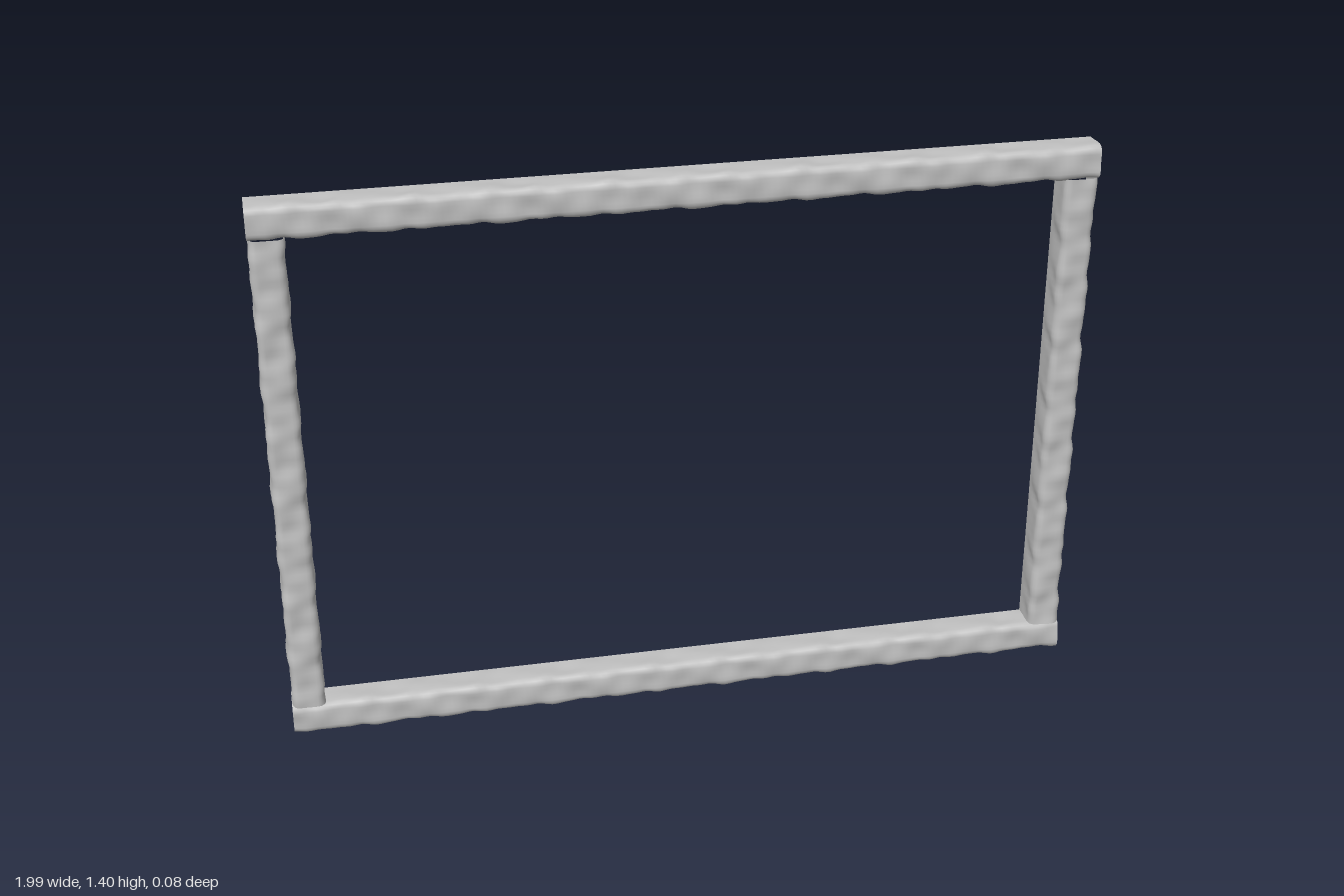
import * as THREE from 'three';

const BACK = -0.041, FRONT = 0.036, HALF = 0.04, RADIUS = 0.018, ROUGH = 0.0034;

// Open channel section as [y, z, normalY, normalZ, roughness], from one back rim round to the other
function channelSection() {
  const half = [];
  const zc = FRONT - RADIUS, yc = HALF - RADIUS;
  for (let i = 0; i < 5; i++) {
    const t = i / 5;
    half.push([HALF, BACK + (zc - BACK) * t, 1, 0, Math.min(1, t * 1.6)]);
  }
  for (let i = 0; i <= 4; i++) {
    const a = (i / 4) * Math.PI / 2;
    half.push([yc + RADIUS * Math.cos(a), zc + RADIUS * Math.sin(a), Math.cos(a), Math.sin(a), 1]);
  }
  half.push([yc * 0.5, FRONT, 0, 1, 1]);
  const mirrored = half.map(([y, z, ny, nz, r]) => [-y, z, -ny, nz, r]);
  return [...mirrored, [0, FRONT, 0, 1, 1], ...half.reverse()];
}

// Smooth hewn unevenness
function unevenness(x, y, z, seed) {
  return 0.45 * Math.sin(43 * x + 38 * y + 21 * z + seed)
    + 0.4 * Math.sin(71 * x - 55 * y + 47 * z + seed * 2.3)
    + 0.35 * Math.sin(27 * x + 80 * y - 60 * z + seed * 3.7)
    + 0.25 * Math.sin(113 * x + 30 * y + 75 * z + seed * 5.1);
}

// Hollow beam along x, open at the back
function beamGeometry(length, seed) {
  const section = channelSection(), n = section.length;
  const steps = Math.round(length / 0.014);
  const positions = [], index = [];
  for (let i = 0; i <= steps; i++) {
    const x = (i / steps - 0.5) * length;
    for (const [y, z, ny, nz, r] of section) {
      const d = ROUGH * r * unevenness(x, y, z, seed);
      positions.push(x, y + ny * d, z + nz * d);
    }
  }
  for (let i = 0; i < steps; i++) {
    for (let j = 0; j < n - 1; j++) {
      const a = i * n + j, b = a + n;
      index.push(a, b, a + 1, b, b + 1, a + 1);
    }
  }
  const geometry = new THREE.BufferGeometry();
  geometry.setAttribute('position', new THREE.Float32BufferAttribute(positions, 3));
  geometry.setIndex(index);
  geometry.computeVertexNormals();
  return geometry;
}

// Flat end plate that follows the section at one end of a beam
function endCapGeometry(beam, side) {
  const n = channelSection().length;
  const p = beam.getAttribute('position');
  const start = side > 0 ? p.count - n : 0;
  const positions = [p.getX(start), 0, BACK], index = [];
  for (let j = 0; j < n; j++) {
    positions.push(p.getX(start + j), p.getY(start + j), p.getZ(start + j));
    if (j < n - 1) index.push(0, ...(side > 0 ? [j + 2, j + 1] : [j + 1, j + 2]));
  }
  const geometry = new THREE.BufferGeometry();
  geometry.setAttribute('position', new THREE.Float32BufferAttribute(positions, 3));
  geometry.setIndex(index);
  geometry.computeVertexNormals();
  return geometry;
}

export function createModel() {
  const model = new THREE.Group();
  model.name = 'frame';
  const grey = new THREE.MeshStandardMaterial({ color: 0xc0c0c0, side: THREE.DoubleSide });
  grey.name = 'light grey';

  const add = (parent, name, geometry) => {
    const mesh = new THREE.Mesh(geometry, grey);
    mesh.name = name;
    parent.add(mesh);
    return mesh;
  };

  // Full-width rails with closed ends
  [['topRail', 1.356, 1.3], ['bottomRail', 0.048, 4.2]].forEach(([name, y, seed]) => {
    const rail = new THREE.Group();
    rail.name = name;
    rail.position.y = y;
    const beam = beamGeometry(1.988, seed);
    add(rail, name + 'Channel', beam);
    add(rail, name + 'LeftEnd', endCapGeometry(beam, 1));
    add(rail, name + 'RightEnd', endCapGeometry(beam, -1));
    model.add(rail);
  });

  // Upright stiles between the rails
  [['leftStile', 0.952, 2.6], ['rightStile', -0.952, 7.9]].forEach(([name, x, seed]) => {
    const stile = add(model, name, beamGeometry(1.232, seed));
    stile.rotation.z = Math.PI / 2;
    stile.position.set(x, 0.702, 0);
  });

  return model;
}
